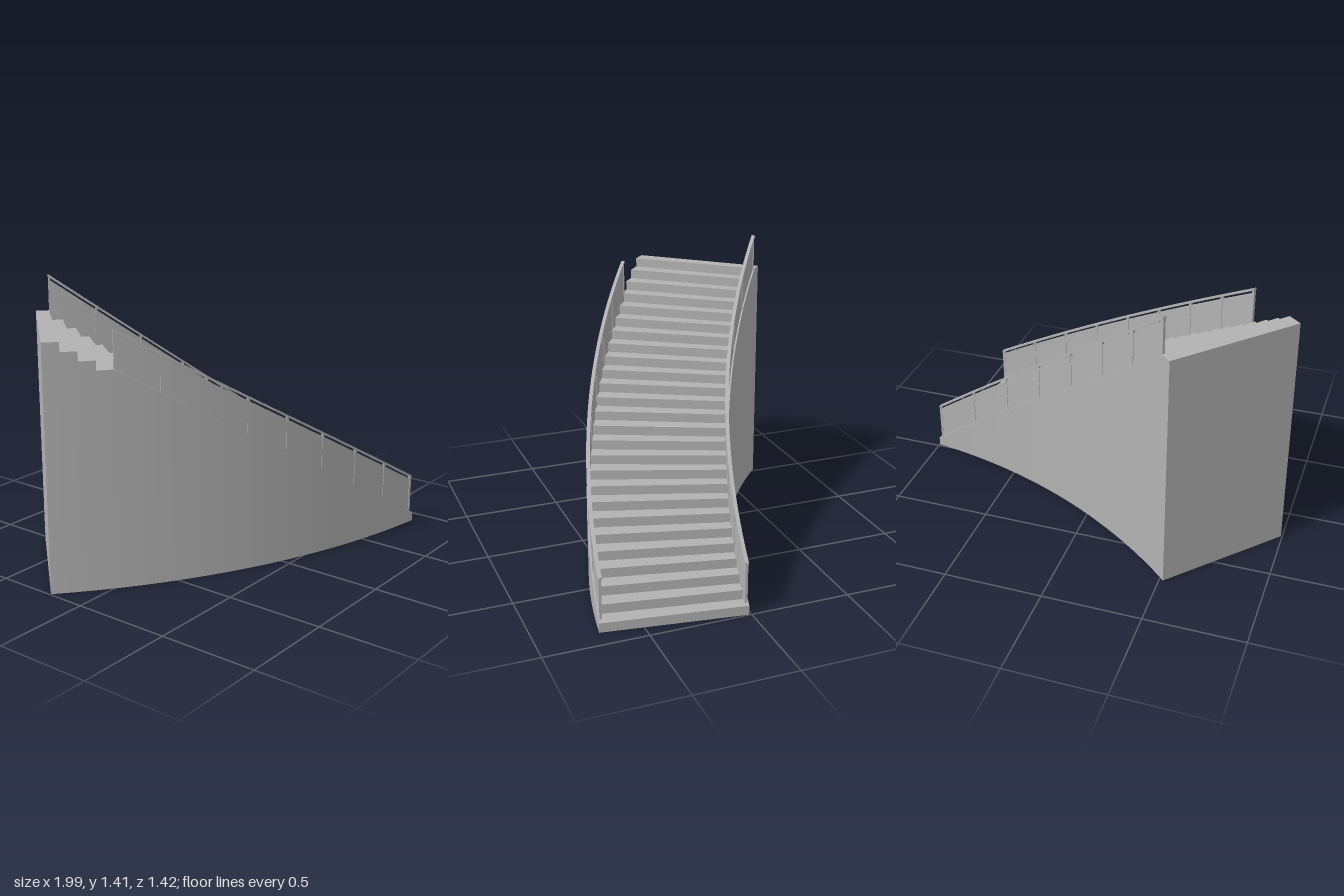
import * as THREE from 'three';
import { mergeGeometries, toCreasedNormals } from 'three/addons/utils/BufferGeometryUtils.js';

// Plan of the stair: arcs about one centre; positions along it are counted in steps
const CX = 1.405, CZ = -2.796, R_IN = 2.837, R_OUT = 3.537;
const STEPS = 26, RISE = 1.23 / STEPS;
const A0 = THREE.MathUtils.degToRad(8.25), DA = THREE.MathUtils.degToRad(34.45) / STEPS;
const WALL = 0.014;

const nose = i => RISE * (1 + i);

// Sweeps a rectangular section along the arc from step i0 to i1;
// bottom and top are heights given as functions of the step position
function sweep(r0, r1, i0, i1, bottom, top, n = 2) {
  const pos = [], index = [];
  for (let j = 0; j <= n; j++) {
    const i = i0 + (i1 - i0) * j / n, a = A0 + DA * i;
    const b = bottom(i), t = top(i);
    for (const [r, y] of [[r0, b], [r1, b], [r1, t], [r0, t]]) {
      pos.push(CX - r * Math.sin(a), y, CZ + r * Math.cos(a));
    }
  }
  for (let j = 0; j < n; j++) {
    for (let k = 0; k < 4; k++) {
      const a = j * 4 + k, b = j * 4 + (k + 1) % 4;
      index.push(a, b, b + 4, a, b + 4, a + 4);
    }
  }
  const e = n * 4;
  index.push(0, 3, 2, 0, 2, 1, e, e + 1, e + 2, e, e + 2, e + 3);
  const g = new THREE.BufferGeometry();
  g.setAttribute('position', new THREE.Float32BufferAttribute(pos, 3));
  g.setIndex(index);
  return toCreasedNormals(g, 0.5);
}

export function createModel() {
  const model = new THREE.Group();
  model.name = 'curvedStaircase';
  const grey = new THREE.MeshStandardMaterial({ color: 0xb2b2b2 });
  grey.name = 'grey';

  const add = (parent, name, parts) => {
    const mesh = new THREE.Mesh(mergeGeometries(parts), grey);
    mesh.name = name;
    parent.add(mesh);
  };
  const at = y => () => y;

  // Thin treads and risers, open underneath
  const treads = [], risers = [];
  const a = R_IN + WALL, b = R_OUT - WALL;
  for (let i = 0; i < STEPS; i++) {
    const y = RISE * (i + 1);
    treads.push(sweep(a, b, i, i + 1, at(y - 0.008), at(y)));
    risers.push(sweep(a, b, i, i + 0.12, at(Math.max(0, y - RISE - 0.008)), at(y - 0.008), 1));
  }
  add(model, 'treads', treads);
  add(model, 'risers', risers);
  add(model, 'backPanel', [sweep(a, b, STEPS - 0.15, STEPS, at(0), at(RISE * STEPS - 0.008), 1)]);

  // Side walls: sloping along the railing, stepped beyond its end
  const wall = (name, r0, end) => {
    const parts = [sweep(r0, r0 + WALL, 0, end, at(0), nose, end * 2)];
    for (let i = end; i < STEPS; i++) {
      parts.push(sweep(r0, r0 + WALL, i, i + 1, at(0), at(RISE * (i + 1))));
    }
    add(model, name, parts);
  };
  wall('innerWall', R_IN, 25);
  wall('outerWall', R_OUT - WALL, 22);

  // Railings: handrail, posts and infill panels with a gap below the rail
  const railing = (name, r, end, bays, yStart, yEnd) => {
    const group = new THREE.Group();
    group.name = name;
    model.add(group);
    const start = 0.22, w = 0.16;
    const top = i => yStart + (yEnd - yStart) * (i - start) / (end - start);
    const below = d => i => top(i) - d;
    add(group, 'handrail', [sweep(r - 0.009, r + 0.009, start, end, below(0.012), top, 52)]);
    const posts = [], panels = [];
    for (let k = 0; k <= bays; k++) {
      const i = start + (end - w - start) * k / bays;
      posts.push(sweep(r - 0.006, r + 0.006, i, i + w, nose, below(0.01), 1));
      if (k < bays) {
        const next = start + (end - w - start) * (k + 1) / bays;
        panels.push(sweep(r - 0.003, r + 0.003, i + w, next, nose, below(0.024), 6));
      }
    }
    add(group, 'posts', posts);
    add(group, 'panels', panels);
  };
  railing('innerRailing', R_IN + 0.011, 25, 7, 0.26, 1.415);
  railing('outerRailing', R_OUT - 0.011, 22, 8, 0.265, 1.272);

  return model;
}
